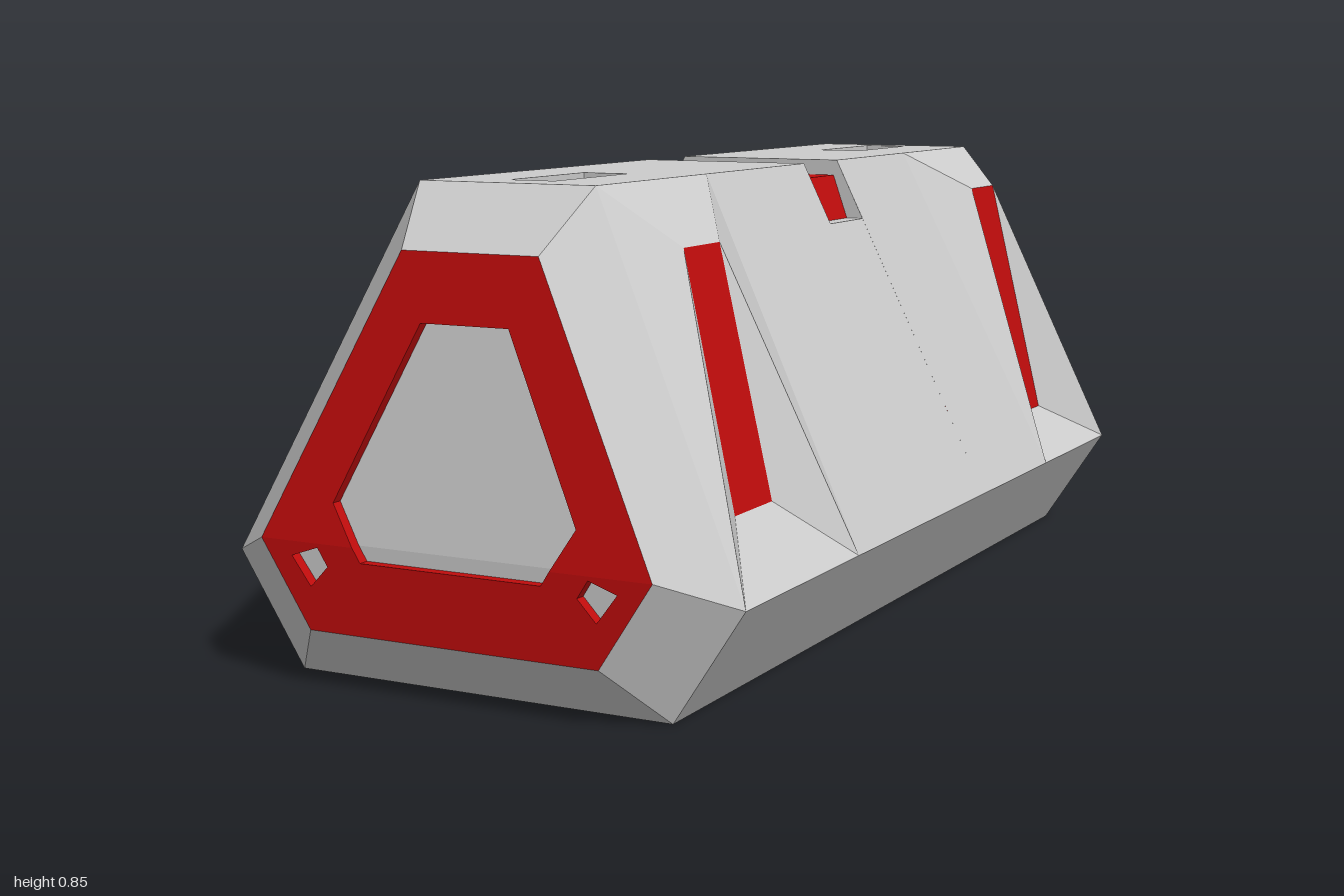
import * as THREE from 'three';

const grey = new THREE.MeshStandardMaterial({ color: 0xcccccc, flatShading: true, side: THREE.DoubleSide });
const red = new THREE.MeshStandardMaterial({ color: 0xc00c0c, flatShading: true, side: THREE.DoubleSide });

// Half of the hexagonal section: base, waist, roof edge, and the saddle notch floor
const B = [0.365, 0], M = [0.495, 0.2], T = [0.172, 0.85], N = [0.229, 0.735];
const NOTCH = [0.01, -0.145];

// Each end: roof/waist lengths, tilt of the end face, and the side pads
const ENDS = [
  { name: 'front', s: 1, roof: 0.81, waist: 0.91, tip: 0.925, lift: 0, roofIn: 0.42, waistIn: 0.47, notch: NOTCH[0],
    pad: { top: [0.28, 0.745], low: [0.39, 0.31], topZ: [0.71, 0.58], lowZ: [0.74, 0.6] }, slot: [0.48, 0.73] },
  { name: 'back', s: -1, roof: 0.85, waist: 0.91, tip: 0.955, lift: 0.02, roofIn: 0.49, waistIn: 0.52, notch: -NOTCH[1],
    pad: { top: [0.28, 0.77], low: [0.39, 0.28], topZ: [0.75, 0.62], lowZ: [0.77, 0.63] }, slot: [0.55, 0.8] },
];

// Flat mesh from a list of triangles and quads (a quad splits from its first to third corner)
function faces(name, polys, material) {
  const pos = [];
  for (const p of polys)
    for (let i = 1; i < p.length - 1; i++) pos.push(...p[0], ...p[i], ...p[i + 1]);
  const g = new THREE.BufferGeometry();
  g.setAttribute('position', new THREE.Float32BufferAttribute(pos, 3));
  g.computeVertexNormals();
  const mesh = new THREE.Mesh(g, material);
  mesh.name = name;
  return mesh;
}

const at = (p, z) => [p[0], p[1], z];
const mirror = (poly) => poly.map(([x, y, z]) => [-x, y, z]).reverse();
const both = (polys) => polys.concat(polys.map(mirror));
const span = (p, z1, q, z2) => [at(p, z1), [-p[0], p[1], z1], [-q[0], q[1], z2], at(q, z2)];
const toShape = (pts) => new THREE.Shape(pts.map(([x, y]) => new THREE.Vector2(x, y)));
const symmetric = (half) => half.concat(half.map(([x, y]) => [-x, y]).reverse());

function buildEnd(e) {
  const group = new THREE.Group();
  group.name = e.name + 'End';
  const { s, pad } = e;

  // Bent end face: upright below y = 0.25, leaning back above
  const onFace = (x, y, inset = 0) => [
    x,
    y + e.lift * (1 - (y - 0.1) / 0.64),
    s * (1 - inset - (1 - e.tip) * Math.max(0, (y - 0.25) / 0.49)),
  ];
  const eb = [0.28, 0.1], em = [0.378, 0.25], et = [0.132, 0.742];

  // Bevels between the body and the end face
  const bT = at(T, s * e.roof), bM = at(M, s * e.waist), bB = at(B, s * e.waist);
  const fT = onFace(...et), fM = onFace(...em), fB = onFace(...eb);
  const neg = ([x, y, z]) => [-x, y, z];
  group.add(faces('endBevel', [
    [bT, neg(bT), neg(fT), fT],
    [bB, fB, neg(fB), neg(bB)],
    ...both([[bT, fT, fM, bM], [bM, fM, fB, bB]]),
  ], grey));

  // Grey recessed plate behind the red frame
  const r = (p) => onFace(p[0], p[1], 0.02);
  group.add(faces('endPlate', [
    [r(et), neg(r(et)), neg(r(em)), r(em)],
    [r(em), neg(r(em)), neg(r(eb)), r(eb)],
  ], grey));

  // Red frame in two pieces that meet on the bend
  const upper = toShape(symmetric([[0.191, 0.25], em, et]).slice(0, 6)
    .concat([[-0.235, 0.32], [-0.085, 0.625], [0.085, 0.625], [0.235, 0.32]]));
  const lower = toShape([em, [0.191, 0.25], [0.175, 0.225], [-0.175, 0.225], [-0.191, 0.25],
    [-em[0], em[1]], [-eb[0], eb[1]], eb]);
  for (const m of [1, -1]) {
    const hole = [[0.315, 0.225], [0.262, 0.243], [0.242, 0.212], [0.277, 0.175]];
    lower.holes.push(new THREE.Path(hole.map(([x, y]) => new THREE.Vector2(m * x, y))));
  }
  for (const [name, shape] of [['frameUpper', upper], ['frameLower', lower]]) {
    const g = new THREE.ExtrudeGeometry(shape, { depth: 0.02, bevelEnabled: false });
    const p = g.attributes.position;
    for (let i = 0; i < p.count; i++) p.setXYZ(i, ...onFace(p.getX(i), p.getY(i), 0.02 - p.getZ(i)));
    g.computeVertexNormals();
    const mesh = new THREE.Mesh(g, red);
    mesh.name = name;
    group.add(mesh);
  }

  // Side pads: a steeper red strip framed by twisted flanks
  const [tO, tI] = pad.topZ.map((z) => at(pad.top, s * z));
  const [lO, lI] = pad.lowZ.map((z) => at(pad.low, s * z));
  const rO = bT, rI = at(T, s * e.roofIn), wO = bM, wI = at(M, s * e.waistIn);
  group.add(faces('padFlanks', both([
    [rO, rI, tI, tO], [lO, lI, wI, wO],
    [tO, rO, wO], [tO, wO, lO],
    [tI, wI, rI], [tI, lI, wI],
  ]), grey));
  group.add(faces('padStrip', both([[tO, tI, lI, lO]]), red));

  // Side wall between the pad and the saddle notch
  const n = s * e.notch;
  group.add(faces('sideWall', both([[rI, wI, at(M, n), at(T, n)]]), grey));

  // Roof deck with a sunken slot
  const [z1, z2] = e.slot.map((z) => s * z), w = 0.045, d = 0.05;
  const deck = toShape([[-T[0], -n], [T[0], -n], [T[0], -s * e.roof], [-T[0], -s * e.roof]]);
  const rim = [[-w, z1], [w, z1], [w, z2], [-w, z2]];
  deck.holes.push(new THREE.Path(rim.map(([x, z]) => new THREE.Vector2(x, -z))));
  const roof = new THREE.Mesh(new THREE.ShapeGeometry(deck).rotateX(-Math.PI / 2).translate(0, T[1], 0), grey);
  roof.name = 'roofDeck';
  group.add(roof);
  const high = rim.map(([x, z]) => [x, T[1], z]), deep = rim.map(([x, z]) => [x, T[1] - d, z]);
  group.add(faces('slotWalls', high.map((p, i) => [p, high[(i + 1) % 4], deep[(i + 1) % 4], deep[i]]), grey));
  group.add(faces('slotFloor', [deep], red));
  return group;
}

export function createModel() {
  const model = new THREE.Group();
  model.name = 'crate';
  ENDS.forEach((e) => model.add(buildEnd(e)));

  // Underside and lower sides
  const L = ENDS[0].waist;
  model.add(faces('lowerHull', [
    span(B, L, B, -L),
    ...both([[at(B, L), at(B, -L), at(M, -L), at(M, L)]]),
  ], grey));

  // Saddle notch across the roof
  const [a, b] = NOTCH;
  model.add(faces('saddleNotch', [
    span(N, a, N, b), span(T, a, N, a), span(T, b, N, b),
    ...both([[at(N, a), at(M, a), at(M, b), at(N, b)]]),
  ], grey));

  // Red band lying in the notch
  const band = toShape([[0.195, N[1]], [0.165, 0.82], [-0.165, 0.82], [-0.195, N[1]]]);
  const saddle = new THREE.Mesh(new THREE.ExtrudeGeometry(band, { depth: a - b, bevelEnabled: false }), red);
  saddle.position.z = b;
  saddle.name = 'saddleBand';
  model.add(saddle);
  return model;
}
